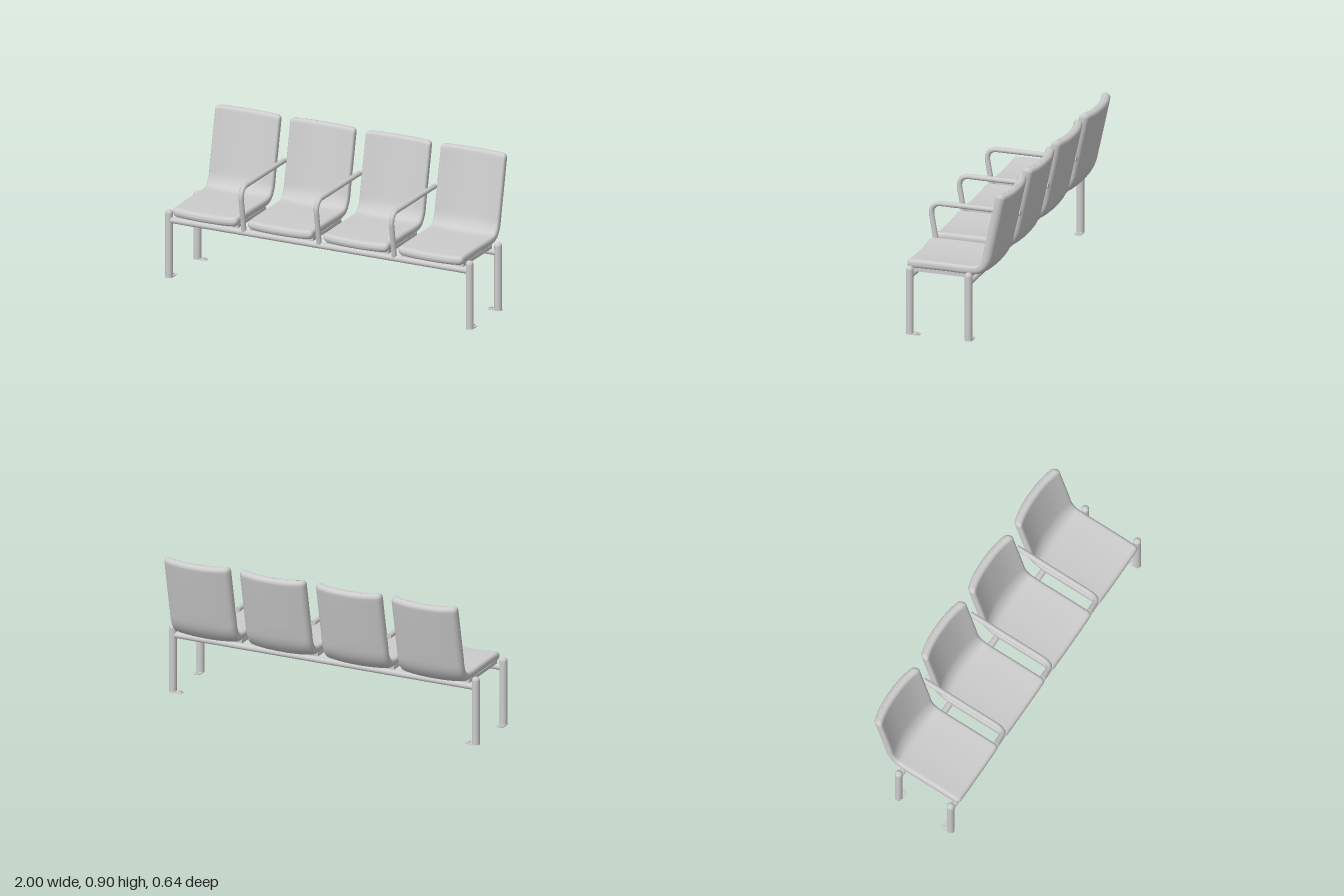
import * as THREE from 'three';

const material = new THREE.MeshStandardMaterial({ color: 0xcccccc, side: THREE.DoubleSide });

function add(parent, name, geometry, x = 0, y = 0, z = 0) {
  const mesh = new THREE.Mesh(geometry, material);
  mesh.name = name;
  mesh.position.set(x, y, z);
  parent.add(mesh);
  return mesh;
}

// Rounded rectangle outline, counterclockwise, with subdivided long sides
function sectionOutline(halfW, halfT, radius) {
  const points = [];
  const r = Math.min(radius, halfT);
  const fx = halfW - r, fy = halfT - r;
  const arc = (cx, cy, start) => {
    for (let k = 0; k <= 5; k++) {
      const a = start + (k / 5) * Math.PI / 2;
      points.push([cx + r * Math.cos(a), cy + r * Math.sin(a)]);
    }
  };
  const side = (dir, y) => {
    for (let k = 1; k < 14; k++) points.push([dir * fx * (1 - (2 * k) / 14), y]);
  };
  arc(fx, fy, 0);
  side(1, halfT);
  arc(-fx, fy, Math.PI / 2);
  arc(-fx, -fy, Math.PI);
  side(-1, -halfT);
  arc(fx, -fy, Math.PI * 1.5);
  return points;
}

// Padded shell: a rounded section swept along the side profile and bowed across its width
function shellGeometry() {
  const profile = [[0.299, 0.412], [0.2, 0.415], [0.05, 0.416], [-0.085, 0.416], [-0.14, 0.428],
    [-0.175, 0.474], [-0.195, 0.56], [-0.217, 0.66], [-0.243, 0.78], [-0.268, 0.897]];
  const curve = new THREE.CatmullRomCurve3(profile.map(([z, y]) => new THREE.Vector3(0, y, z)), false, 'centripetal');
  const length = curve.getLength();
  const halfW = 0.21, halfT = 0.027, round = 0.024;

  // Stations are dense at both ends, where the shell rounds over
  const ends = [0, 0.06, 0.2, 0.4, 0.7, 1].map((k) => k * round);
  const stations = [...ends];
  for (let k = 1; k < 44; k++) stations.push(round + (k / 44) * (length - 2 * round));
  stations.push(...ends.map((s) => length - s).reverse());

  const positions = [], indices = [];
  let count = 0;
  stations.forEach((s, i) => {
    const u = s / length;
    const p = curve.getPointAt(u), t = curve.getTangentAt(u);
    const fromEnd = Math.min(s, length - s, round);
    const inset = round - Math.sqrt(round ** 2 - (round - fromEnd) ** 2);
    const closed = i === 0 || i === stations.length - 1;
    const ring = sectionOutline(halfW - inset, closed ? 0.0002 : halfT - inset, 0.022);
    const bow = THREE.MathUtils.lerp(0.012, 0.034, THREE.MathUtils.smoothstep(u, 0.35, 0.65));
    count = ring.length;
    for (const [x, n] of ring) {
      const d = n - bow * (1 - Math.abs(x / halfW) ** 2.4);
      positions.push(x, p.y - t.z * d, p.z + t.y * d);
    }
    if (i === 0) return;
    for (let j = 0; j < count; j++) {
      const a = (i - 1) * count + j, b = (i - 1) * count + (j + 1) % count;
      indices.push(a, a + count, b, b, a + count, b + count);
    }
  });
  const geometry = new THREE.BufferGeometry();
  geometry.setAttribute('position', new THREE.Float32BufferAttribute(positions, 3));
  geometry.setIndex(indices);
  geometry.computeVertexNormals();
  return geometry;
}

// Round leg with a domed top
function legGeometry() {
  const r = 0.0228, top = 0.415;
  const points = [new THREE.Vector2(0, 0), new THREE.Vector2(r, 0), new THREE.Vector2(r, 0.001)];
  for (let k = 0; k <= 8; k++) {
    const a = (k / 8) * Math.PI / 2;
    points.push(new THREE.Vector2(r * Math.cos(a), top - r + r * Math.sin(a)));
  }
  return new THREE.LatheGeometry(points, 28);
}

// Foot plate with rounded ends, reaching along +x
function footGeometry() {
  const r = 0.0235, reach = 0.041;
  const shape = new THREE.Shape();
  shape.absarc(0, 0, r, Math.PI / 2, Math.PI * 1.5, false);
  shape.absarc(reach, 0, r, -Math.PI / 2, Math.PI / 2, false);
  shape.closePath();
  const geometry = new THREE.ExtrudeGeometry(shape, { depth: 0.005, bevelEnabled: false, curveSegments: 14 });
  return geometry.rotateX(-Math.PI / 2);
}

// Bent armrest tube rising from the front rail and running back
function armrestGeometry() {
  const v = (z, y) => new THREE.Vector3(0, y, z);
  const path = new THREE.CurvePath();
  path.add(new THREE.LineCurve3(v(0.266, 0.355), v(0.301, 0.556)));
  path.add(new THREE.CubicBezierCurve3(v(0.301, 0.556), v(0.309, 0.602), v(0.288, 0.633), v(0.243, 0.633)));
  path.add(new THREE.LineCurve3(v(0.243, 0.633), v(-0.243, 0.633)));
  return new THREE.TubeGeometry(path, 90, 0.0155, 16, false);
}

export function createModel() {
  const bench = new THREE.Group();
  bench.name = 'beamSeating';
  const frontZ = 0.265, backZ = -0.095, legX = 0.976;

  // Seats with their support panels
  const shell = shellGeometry();
  const panel = new THREE.BoxGeometry(0.405, 0.021, frontZ - backZ);
  for (const x of [-0.732, -0.245, 0.245, 0.732]) {
    const seat = new THREE.Group();
    seat.name = 'seat';
    seat.position.x = x;
    bench.add(seat);
    add(seat, 'seatShell', shell);
    add(seat, 'seatPanel', panel, 0, 0.3795, (frontZ + backZ) / 2);
  }

  // Armrests between the seats
  const arm = armrestGeometry();
  const armCap = new THREE.CircleGeometry(0.0155, 16).rotateY(Math.PI);
  for (const x of [-0.488, 0, 0.488]) {
    const armrest = new THREE.Group();
    armrest.name = 'armrest';
    armrest.position.x = x;
    bench.add(armrest);
    add(armrest, 'armrestTube', arm);
    add(armrest, 'armrestEnd', armCap, 0, 0.633, -0.243);
  }

  // Rails
  const rail = new THREE.CylinderGeometry(0.0185, 0.0185, legX * 2, 24).rotateZ(Math.PI / 2);
  add(bench, 'frontRail', rail, 0, 0.351, frontZ);
  add(bench, 'backRail', rail, 0, 0.351, backZ);

  // Legs: front feet reach backwards, back feet reach inwards
  const leg = legGeometry(), foot = footGeometry();
  const bolt = new THREE.CylinderGeometry(0.009, 0.009, 0.007, 16);
  for (const side of [-1, 1]) {
    for (const front of [true, false]) {
      const group = new THREE.Group();
      group.name = front ? 'frontLeg' : 'backLeg';
      group.position.set(side * legX, 0, front ? frontZ : backZ);
      group.rotation.y = front ? Math.PI / 2 : side > 0 ? Math.PI : 0;
      bench.add(group);
      add(group, 'legPost', leg);
      add(group, 'footPlate', foot);
      add(group, 'footBolt', bolt, 0.045, 0.0085, 0);
    }
  }
  return bench;
}
